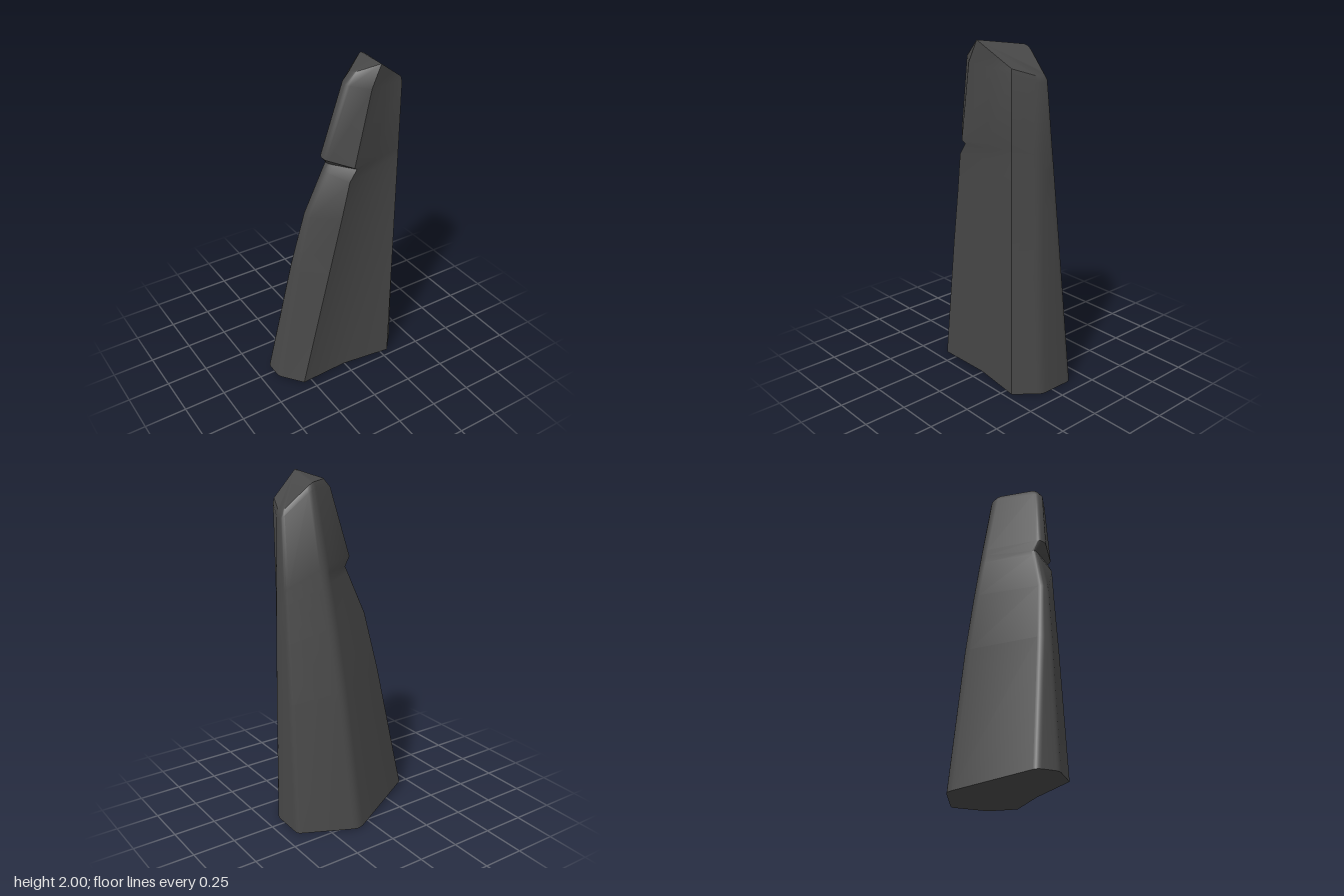
import * as THREE from 'three';
import { toCreasedNormals } from 'three/addons/utils/BufferGeometryUtils.js';

// Relative height of each cross-section, from the foot to the upper rim
const LEVELS = [0, 0.43, 0.62, 0.74, 0.77, 0.79, 1];

// Straight corner edge from foot to rim with a slight bulge in z, then the bevelled cap point
function straightEdge(foot, rim, cap, bulge = 0) {
  const a = new THREE.Vector3(...foot), b = new THREE.Vector3(...rim);
  const points = LEVELS.map((t) => {
    const p = a.clone().lerp(b, t);
    p.z += bulge * Math.sin(Math.PI * t);
    return p;
  });
  return [...points, new THREE.Vector3(...cap)];
}

const brokenEdge = (list) => list.map((p) => new THREE.Vector3(...p));

function createPillarGeometry() {
  // Corner edges, counter-clockwise seen from above, starting at the front left of the model
  const corners = [
    straightEdge([0.30, 0, 0.212], [0.304, 1.84, 0.224], [0.30, 1.868, 0.218]),
    straightEdge([0.415, 0, 0.08], [0.364, 1.79, 0.085], [0.354, 1.822, 0.085], 0.012),
    straightEdge([0.418, 0, -0.145], [0.371, 1.79, 0.028], [0.356, 1.825, 0.042]),
    straightEdge([0.09, 0, -0.308], [0.19, 1.94, -0.012], [0.19, 1.965, 0.008], -0.025),
    // The notched side
    brokenEdge([[-0.42, 0.035, -0.04], [-0.305, 0.8, 0.058], [-0.237, 1.15, 0.105], [-0.13, 1.41, 0.128],
      [-0.115, 1.445, 0.132], [-0.153, 1.50, 0.142], [-0.05, 1.90, 0.185], [-0.005, 1.95, 0.185]]),
    brokenEdge([[-0.42, 0.035, 0.085], [-0.30, 0.8, 0.125], [-0.235, 1.15, 0.145], [-0.125, 1.40, 0.158],
      [-0.10, 1.44, 0.158], [-0.15, 1.49, 0.182], [-0.045, 1.90, 0.225], [0.005, 1.955, 0.22]]),
    brokenEdge([[-0.31, 0.02, 0.202], [-0.16, 0.8, 0.248], [-0.09, 1.15, 0.266], [-0.05, 1.37, 0.277],
      [-0.005, 1.435, 0.276], [-0.025, 1.45, 0.284], [0.06, 1.88, 0.298], [0.118, 2.0, 0.292]]),
  ];
  // Hollow line down the middle of the front face, fading out upwards
  const hollow = corners[0].map((p, level) => {
    const mid = p.clone().lerp(corners[6][level], 0.5);
    mid.z -= 0.035 * (1 - level / 7);
    if (level === 0) mid.y = 0;
    return mid;
  });
  const edges = [hollow, ...corners];
  const soft = [0, 0, 0.03, 0.025, 0.04, 0.025, 0.02, 0]; // worn corner widths
  const n = edges.length;
  const rings = corners[0].map((_, level) => edges.flatMap((edge, i) => {
    const p = edge[level];
    if (!soft[i]) return [p];
    // Round the corner along both neighbouring sides
    const toward = (q) => {
      const d = q.clone().sub(p);
      return p.clone().addScaledVector(d, Math.min(0.35, soft[i] / d.length()));
    };
    const a = toward(edges[i - 1][level]);
    const b = toward(edges[(i + 1) % n][level]);
    return new THREE.QuadraticBezierCurve3(a, p, b).getPoints(3);
  }));

  const count = rings[0].length, index = [];
  // Sides
  for (let r = 0; r < rings.length - 1; r++) {
    for (let j = 0; j < count; j++) {
      const k = (j + 1) % count;
      const a = r * count + j, b = r * count + k;
      index.push(a, b, b + count, a, b + count, a + count);
    }
  }
  // Ridged top fanned from the peak, underside fanned from the hollow
  const top = (rings.length - 1) * count, last = count - 1;
  for (let j = 0; j < last - 1; j++) {
    index.push(top + last, top + j, top + j + 1);
    index.push(0, j + 2, j + 1);
  }
  const geometry = new THREE.BufferGeometry().setFromPoints(rings.flat());
  geometry.setIndex(index);
  return toCreasedNormals(geometry, 0.66);
}

export function createModel() {
  const stone = new THREE.MeshStandardMaterial({ color: 0x484848 });
  stone.name = 'dark stone';
  const pillar = new THREE.Mesh(createPillarGeometry(), stone);
  pillar.name = 'rockPillar';
  const group = new THREE.Group();
  group.name = 'standingStone';
  group.add(pillar);
  return group;
}
